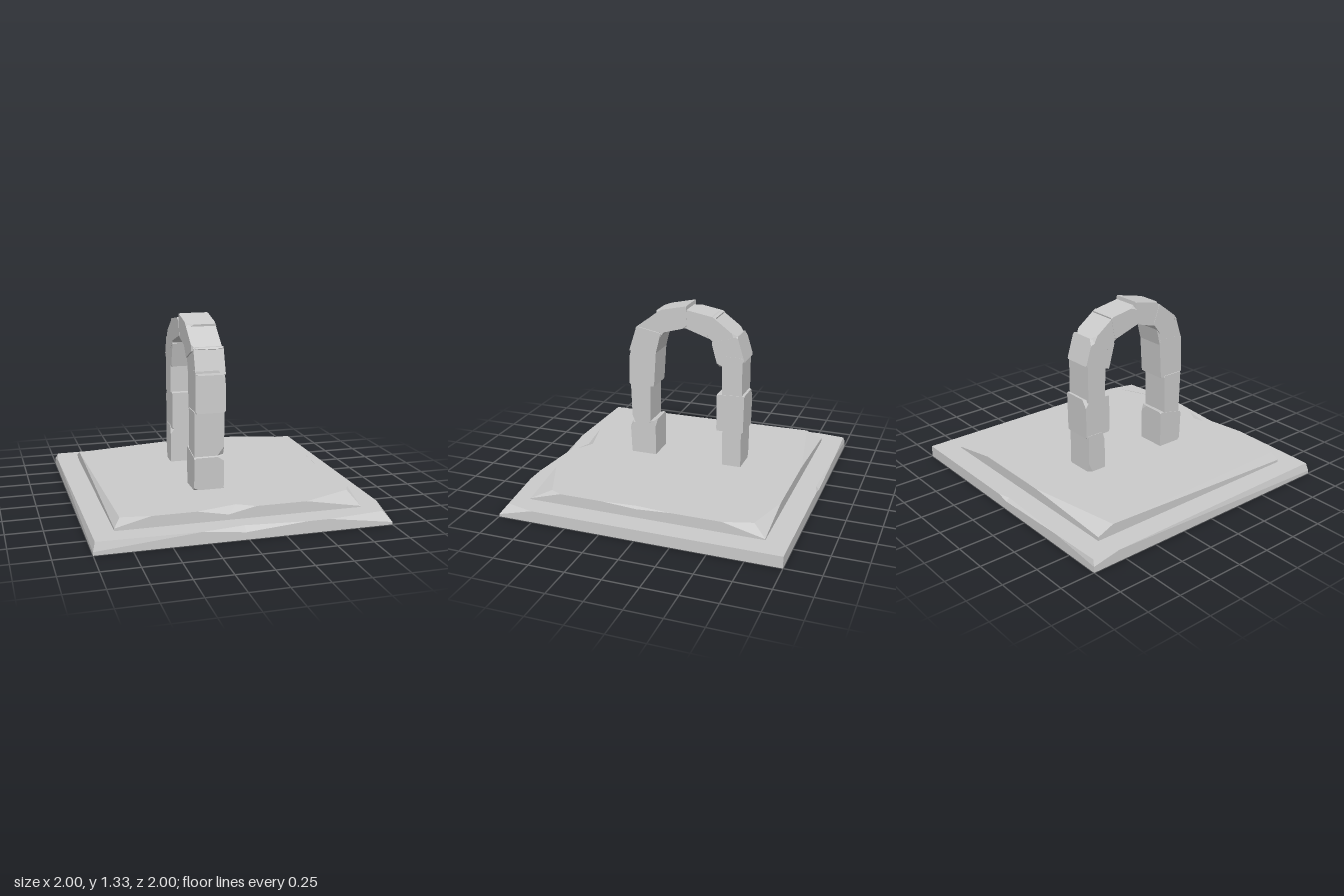
import * as THREE from 'three';
import { ConvexGeometry } from 'three/addons/geometries/ConvexGeometry.js';

const stone = new THREE.MeshStandardMaterial({ color: 0xcccccc, flatShading: true });

// Small seeded generator for the chipped corners
let seed = 7;
const rand = () => (seed = (seed * 16807) % 2147483647) / 2147483647;

// Square slab. Edge points run counter-clockwise from the front left corner:
// [x, z, drop of the side edge, x of the top edge, z of the top edge]
function chippedSlab(name, y0, y1, edge) {
  const low = [], side = [], top = [];
  for (const [x, z, drop = 0, tx = x, tz = z] of edge) {
    low.push([x, y0, z]);
    side.push([x, y1 - drop, z]);
    top.push([tx, y1, tz]);
  }
  const pos = [];
  const tri = (a, b, c) => {
    const [A, B, C] = [a, b, c].map((p) => new THREE.Vector3(...p));
    if (B.sub(A).cross(C.sub(A)).length() > 1e-7) pos.push(...a, ...b, ...c);
  };
  const n = edge.length;
  for (let i = 0; i < n; i++) {
    const j = (i + 1) % n;
    tri(low[i], low[j], side[j]);
    tri(low[i], side[j], side[i]);
    tri(side[i], side[j], top[j]);
    tri(side[i], top[j], top[i]);
    tri([0, y1, 0], top[i], top[j]);
    tri([0, y0, 0], low[j], low[i]);
  }
  const geo = new THREE.BufferGeometry();
  geo.setAttribute('position', new THREE.Float32BufferAttribute(pos, 3));
  geo.computeVertexNormals();
  const mesh = new THREE.Mesh(geo, stone);
  mesh.name = name;
  return mesh;
}

// Stone block: a four-cornered (z, y) profile given thickness in x, with each corner cut off
function chippedBlock(name, profile, x0, x1) {
  const corner = (i, s) => {
    const [z, y] = profile[(i + 4) % 4];
    return new THREE.Vector3(s ? x1 : x0, y, z);
  };
  const pts = [];
  for (let i = 0; i < 4; i++) {
    for (const s of [0, 1]) {
      const c = corner(i, s);
      const big = rand() > 0.75 ? 2.2 : 0.6;
      for (const next of [corner(i + 1, s), corner(i - 1, s), corner(i, 1 - s)]) {
        pts.push(c.clone().lerp(next, (0.02 + 0.1 * rand()) * big));
      }
    }
  }
  const mesh = new THREE.Mesh(new ConvexGeometry(pts), stone);
  mesh.name = name;
  return mesh;
}

export function createModel() {
  seed = 7;
  const model = new THREE.Group();
  model.name = 'stoneArchOnBase';

  // Two stepped slabs with broken edges
  model.add(chippedSlab('lowerSlab', 0, 0.083, [
    [-1, 1, 0.06, -0.985, 0.985], [-0.3, 1], [-0.02, 1, 0.033, -0.02, 0.96], [0.4, 1],
    [0.55, 1], [1, 1, 0.066, 0.95, 0.95], [1, 0.75],
    [1, -1],
    [0.06, -1], [-0.03, -1, 0.02, -0.03, -0.975], [-0.6, -1],
    [-1, -1, 0.04, -0.98, -0.99], [-1, -0.8],
  ]));
  model.add(chippedSlab('upperSlab', 0.083, 0.16, [
    [-0.84, 0.84, 0.06, -0.8, 0.81], [-0.6, 0.84],
    [-0.3, 0.84], [-0.09, 0.84, 0.04, -0.02, 0.77], [0.1, 0.84],
    [0.45, 0.84], [0.84, 0.84, 0.07, 0.8, 0.69], [0.84, 0.61],
    [0.84, 0.3], [0.84, 0.05, 0.015, 0.82, 0.05], [0.84, -0.2],
    [0.84, -0.55], [0.84, -0.84, 0.07, 0.78, -0.75], [0.45, -0.84],
    [-0.15, -0.84], [-0.84, -0.84, 0.05, -0.84, -0.72], [-0.84, -0.7],
  ]));

  // Arch blocks from the front foot, over the crown, down to the back foot
  const arch = new THREE.Group();
  arch.name = 'arch';
  const blocks = [
    ['frontFoot', [[0.43, 0.155], [0.24, 0.155], [0.24, 0.43], [0.44, 0.39]]],
    ['frontMiddle', [[0.42, 0.39], [0.28, 0.41], [0.275, 0.71], [0.43, 0.71]]],
    ['frontUpper', [[0.44, 0.7], [0.245, 0.7], [0.225, 1.0], [0.43, 0.99]]],
    ['frontSpringer', [[0.435, 0.96], [0.23, 0.95], [0.19, 1.11], [0.375, 1.145]]],
    ['frontHaunch', [[0.39, 1.13], [0.22, 1.05], [0.16, 1.13], [0.21, 1.27]]],
    ['frontCrown', [[0.225, 1.275], [0.2, 1.11], [-0.01, 1.17], [0, 1.325]]],
    ['backCrown', [[0.01, 1.3], [0.02, 1.17], [-0.19, 1.1], [-0.22, 1.26]]],
    ['backHaunch', [[-0.19, 1.27], [-0.16, 1.12], [-0.25, 1.04], [-0.38, 1.13]]],
    ['backSpringer', [[-0.19, 1.08], [-0.38, 1.14], [-0.435, 0.96], [-0.24, 0.9]]],
    ['backUpper', [[-0.27, 0.99], [-0.42, 0.99], [-0.42, 0.69], [-0.275, 0.69]]],
    ['backMiddle', [[-0.235, 0.7], [-0.44, 0.71], [-0.435, 0.425], [-0.235, 0.425]]],
    ['backFoot', [[-0.28, 0.44], [-0.42, 0.44], [-0.42, 0.155], [-0.28, 0.155]]],
  ];
  for (const [name, profile] of blocks) {
    const wobble = 0.012 * (rand() - 0.5);
    arch.add(chippedBlock(name, profile, -0.207 + wobble, 0.004 + wobble));
  }
  model.add(arch);
  return model;
}
